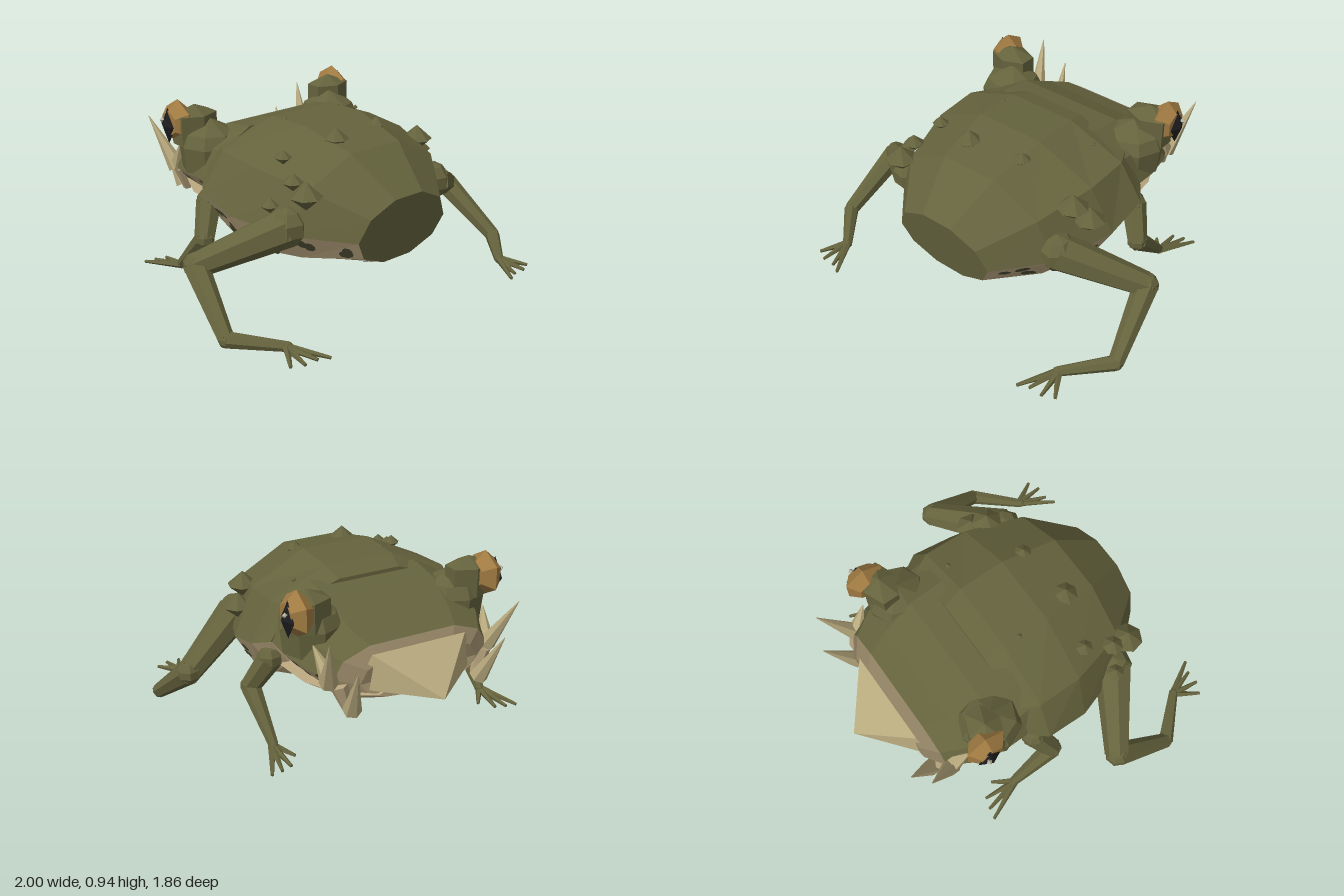
import * as THREE from 'three';
import { mergeGeometries } from 'three/addons/utils/BufferGeometryUtils.js';

const mat = (name, color) =>
  Object.assign(new THREE.MeshStandardMaterial({ color, flatShading: true }), { name });

const V = (x, y, z) => new THREE.Vector3(x, y, z);
const UP = V(0, 1, 0);

// Ten-sided cross-section: widest at mid, flat on top and bottom
const ROUND = [1, 0.81, 0.31], WIDE = [1, 0.88, 0.55];
function ring({ z, w, top, mid, bot, tilt = 0 }, table) {
  const pts = [];
  for (let j = 0; j < 10; j++) {
    const a = (j * Math.PI) / 5, s = Math.sin(a) / 0.951, c = Math.cos(a);
    const k = Math.abs(s) < 0.01 ? 0 : Math.abs(s) < 0.8 ? 1 : 2;
    const y = mid + s * (s > 0 ? top - mid : mid - bot);
    pts.push(V(Math.sign(c) * table[k] * w, y, z + tilt * (y - mid)));
  }
  return pts;
}

// Skin rings from back (+z) to nose (-z); pick(i, j) chooses the material index
function loft(rings, pick) {
  const pos = [], geo = new THREE.BufferGeometry(), n = rings.length - 1;
  const tri = (m, ...p) => {
    geo.addGroup(pos.length / 3, 3, m);
    p.forEach(v => pos.push(v.x, v.y, v.z));
  };
  for (let j = 0; j < 10; j++) {
    const k = (j + 1) % 10;
    for (let i = 0; i < n; i++) {
      const a = rings[i][j], b = rings[i][k], c = rings[i + 1][k], d = rings[i + 1][j];
      tri(pick(i, j), a, d, c);
      tri(pick(i, j), a, c, b);
    }
    if (j > 0 && j < 9) {
      tri(pick(-1, j), rings[0][0], rings[0][j], rings[0][k]);
      tri(pick(n, j), rings[n][0], rings[n][k], rings[n][j]);
    }
  }
  geo.setAttribute('position', new THREE.Float32BufferAttribute(pos, 3));
  geo.computeVertexNormals();
  return geo;
}

// Tapered rod between two points
function rod(a, b, r1, r2, sides = 6) {
  const d = b.clone().sub(a);
  const g = new THREE.CylinderGeometry(r2, r1, d.length(), sides);
  g.applyQuaternion(new THREE.Quaternion().setFromUnitVectors(UP, d.normalize()));
  const m = a.clone().add(b).multiplyScalar(0.5);
  return g.translate(m.x, m.y, m.z);
}

// Chain of rods with faceted joints
function limb(points, radii) {
  const parts = [];
  points.forEach((p, i) => {
    if (i < points.length - 1) parts.push(rod(p, points[i + 1], radii[i], radii[i + 1], 7));
    parts.push(new THREE.SphereGeometry(radii[i], 7, 5).translate(p.x, p.y, p.z));
  });
  return mergeGeometries(parts);
}

// Flat irregular patches scattered over the faces of a lofted skin
function spots(rings, wanted, perFace, radius, rand) {
  const parts = [];
  const onTri = (a, b, c) => {
    const n = b.clone().sub(a).cross(c.clone().sub(a));
    if (n.length() < 0.008) return;
    n.normalize();
    const q = new THREE.Quaternion().setFromUnitVectors(V(0, 0, 1), n);
    for (let k = 0; k < perFace; k++) {
      const w = [0, 1, 2].map(() => 0.25 + rand()), t = w[0] + w[1] + w[2];
      const p = V(0, 0, 0).addScaledVector(a, w[0] / t).addScaledVector(b, w[1] / t)
        .addScaledVector(c, w[2] / t).addScaledVector(n, 0.004);
      const g = new THREE.CircleGeometry(radius, 8);
      g.scale(1, 0.55 + rand() * 0.35, 1).rotateZ(rand() * 3).scale(1 + rand() * 0.3, 1, 1);
      parts.push(g.applyQuaternion(q).translate(p.x, p.y, p.z));
    }
  };
  for (let i = 0; i < rings.length - 1; i++) {
    for (let j = 0; j < 10; j++) {
      if (!wanted(i, j)) continue;
      const k = (j + 1) % 10;
      onTri(rings[i][j], rings[i + 1][j], rings[i + 1][k]);
      onTri(rings[i][j], rings[i + 1][k], rings[i][k]);
    }
  }
  return mergeGeometries(parts);
}

const lathe = (profile, sides) =>
  new THREE.LatheGeometry(profile.map(p => new THREE.Vector2(...p)), sides);

export function createModel() {
  const root = new THREE.Group();
  root.name = 'hornedToad';
  const olive = mat('olive skin', 0x65633d), tan = mat('tan belly', 0xb6a37d);
  const lip = mat('lip brown', 0x8c7d5f), horn = mat('horn', 0xb8a97d);
  const amber = mat('amber eye', 0xa07a42), black = mat('black pupil', 0x1c1c1e);
  const dark = mat('dark spots', 0x4d4a33), white = mat('eye glint', 0xb8b4a4);
  const add = (name, geo, material) => {
    const m = new THREE.Mesh(geo, material);
    m.name = name;
    root.add(m);
  };
  let seed = 7;
  const rand = () => (seed = (seed * 16807) % 2147483647) / 2147483647;

  // Body with olive back and tan belly
  const body = [
    { z: 0.725, w: 0.3, top: 0.61, mid: 0.42, bot: 0.25, tilt: 0.2 },
    { z: 0.47, w: 0.53, top: 0.8, mid: 0.44, bot: 0.2, tilt: 0.12 },
    { z: 0.14, w: 0.64, top: 0.875, mid: 0.47, bot: 0.13, tilt: 0.12 },
    { z: -0.1, w: 0.645, top: 0.865, mid: 0.53, bot: 0.23, tilt: 0.08 },
    { z: -0.19, w: 0.58, top: 0.83, mid: 0.56, bot: 0.32 },
  ].map(r => ring(r, ROUND));
  add('body', loft(body, (i, j) => (i >= 0 && j >= 5 ? 1 : 0)), [olive, tan]);
  add('bellySpots', spots(body, (i, j) => i < 3 && j >= 5, 2, 0.033, rand), dark);

  // Broad head with tan cheeks and a brown upper lip
  const head = [
    { z: -0.12, w: 0.57, top: 0.82, mid: 0.56, bot: 0.42 },
    { z: -0.32, w: 0.57, top: 0.79, mid: 0.55, bot: 0.42 },
    { z: -0.5, w: 0.53, top: 0.7, mid: 0.53, bot: 0.41 },
    { z: -0.63, w: 0.45, top: 0.65, mid: 0.51, bot: 0.4 },
    { z: -0.7, w: 0.34, top: 0.6, mid: 0.49, bot: 0.4 },
  ].map(r => ring(r, WIDE));
  add('head', loft(head, (i, j) => (j >= 5 ? 1 : i >= 3 ? 2 : 0)), [olive, tan, lip]);
  add('cheekSpots', spots(head, (i, j) => i < 3 && (j === 5 || j === 9), 1, 0.028, rand), dark);

  // Lower jaw
  const jaw = [
    { z: -0.1, w: 0.53, top: 0.45, mid: 0.41, bot: 0.32 },
    { z: -0.4, w: 0.5, top: 0.44, mid: 0.41, bot: 0.345 },
    { z: -0.62, w: 0.4, top: 0.43, mid: 0.41, bot: 0.365 },
    { z: -0.71, w: 0.24, top: 0.43, mid: 0.41, bot: 0.385 },
  ].map(r => ring(r, WIDE));
  add('lowerJaw', loft(jaw, () => 0), [tan]);

  // Pointed beak: pyramid over the nose
  const tip = V(0, 0.43, -0.93);
  const base = [V(-0.27, 0.63, -0.69), V(0.27, 0.63, -0.69), V(0.34, 0.45, -0.66), V(-0.34, 0.45, -0.66)];
  const beak = new THREE.BufferGeometry().setFromPoints(
    base.flatMap((p, i) => [p, base[(i + 1) % 4], tip]));
  beak.computeVertexNormals();
  add('beak', beak, horn);

  for (const s of [1, -1]) {
    const side = s > 0 ? 'left' : 'right';
    const P = (x, y, z) => V(s * x, y, z);

    // Hind leg and toes
    add(side + 'HindLeg', limb(
      [P(0.51, 0.475, 0.43), P(0.895, 0.295, 0.185), P(0.96, 0.045, 0.52), P(0.76, 0.03, 0.74)],
      [0.105, 0.067, 0.042, 0.026]), olive);
    const toes = [[0.85, 0.87], [0.785, 0.9], [0.71, 0.9], [0.65, 0.925]]
      .map(([x, z]) => rod(P(0.765, 0.03, 0.73), P(x, 0.012, z), 0.021, 0.009, 5));
    add(side + 'HindToes', mergeGeometries(toes), olive);

    // Foreleg and fingers
    add(side + 'Foreleg', limb(
      [P(0.57, 0.45, -0.15), P(0.655, 0.28, -0.08), P(0.645, 0.045, -0.33)],
      [0.07, 0.055, 0.027]), olive);
    const fingers = [[0.75, -0.54], [0.69, -0.53], [0.63, -0.51], [0.57, -0.43]]
      .map(([x, z]) => rod(P(0.65, 0.04, -0.32), P(x, 0.012, z), 0.021, 0.009, 5));
    add(side + 'Fingers', mergeGeometries(fingers), olive);

    // Eye mound with a smaller lid block on it
    const mound = lathe([[0.155, 0.56], [0.17, 0.7], [0.14, 0.765], [0, 0.84]], 8)
      .translate(s * 0.425, 0, -0.335);
    const lid = lathe([[0.13, 0.7], [0.13, 0.86], [0, 0.91]], 6)
      .scale(1, 1, 0.72).translate(s * 0.475, 0, -0.4);
    add(side + 'EyeMound', mergeGeometries([mound, lid]), olive);

    // Six-sided eye, diamond pupil and glint
    add(side + 'Eye', lathe([[0, -0.06], [0.07, -0.06], [0.125, 0], [0.07, 0.06], [0, 0.06]], 6)
      .rotateZ(Math.PI / 2).rotateX(Math.PI / 2).translate(s * 0.55, 0.815, -0.447), amber);
    add(side + 'Pupil', new THREE.OctahedronGeometry(0.1).scale(0.35, 1, 0.7)
      .translate(s * 0.605, 0.8, -0.46), black);
    add(side + 'EyeGlint', new THREE.OctahedronGeometry(0.016)
      .translate(s * 0.63, 0.835, -0.48), white);

    // Two long tusks and a short horn at the mouth corner
    add(side + 'Tusks', mergeGeometries([
      rod(P(0.465, 0.49, -0.61), P(0.54, 0.77, -0.765), 0.05, 0.002),
      rod(P(0.375, 0.35, -0.68), P(0.42, 0.62, -0.825), 0.05, 0.002),
      rod(P(0.46, 0.51, -0.6), P(0.5, 0.66, -0.515), 0.05, 0.004),
    ]), horn);
    add(side + 'TuskRoot', rod(P(0.38, 0.34, -0.64), P(0.42, 0.48, -0.63), 0.025, 0.05), tan);
  }

  // Warts scattered unevenly over the back: x, y, z, radius
  const warts = [
    [-0.47, 0.655, 0.53, 0.085], [-0.575, 0.59, 0.38, 0.048], [-0.47, 0.7, 0.43, 0.055],
    [-0.41, 0.775, 0.28, 0.045], [-0.13, 0.835, 0.36, 0.068], [0.19, 0.835, 0.32, 0.048],
    [0.51, 0.685, 0.31, 0.085], [0.57, 0.595, 0.245, 0.085], [-0.19, 0.87, 0.02, 0.015],
    [0.37, 0.81, -0.04, 0.015],
  ].map(([x, y, z, r]) => lathe([[0, -0.85 * r], [r, 0], [0, 0.9 * r]], 7).translate(x, y, z));
  add('warts', mergeGeometries(warts), olive);

  return root;
}
